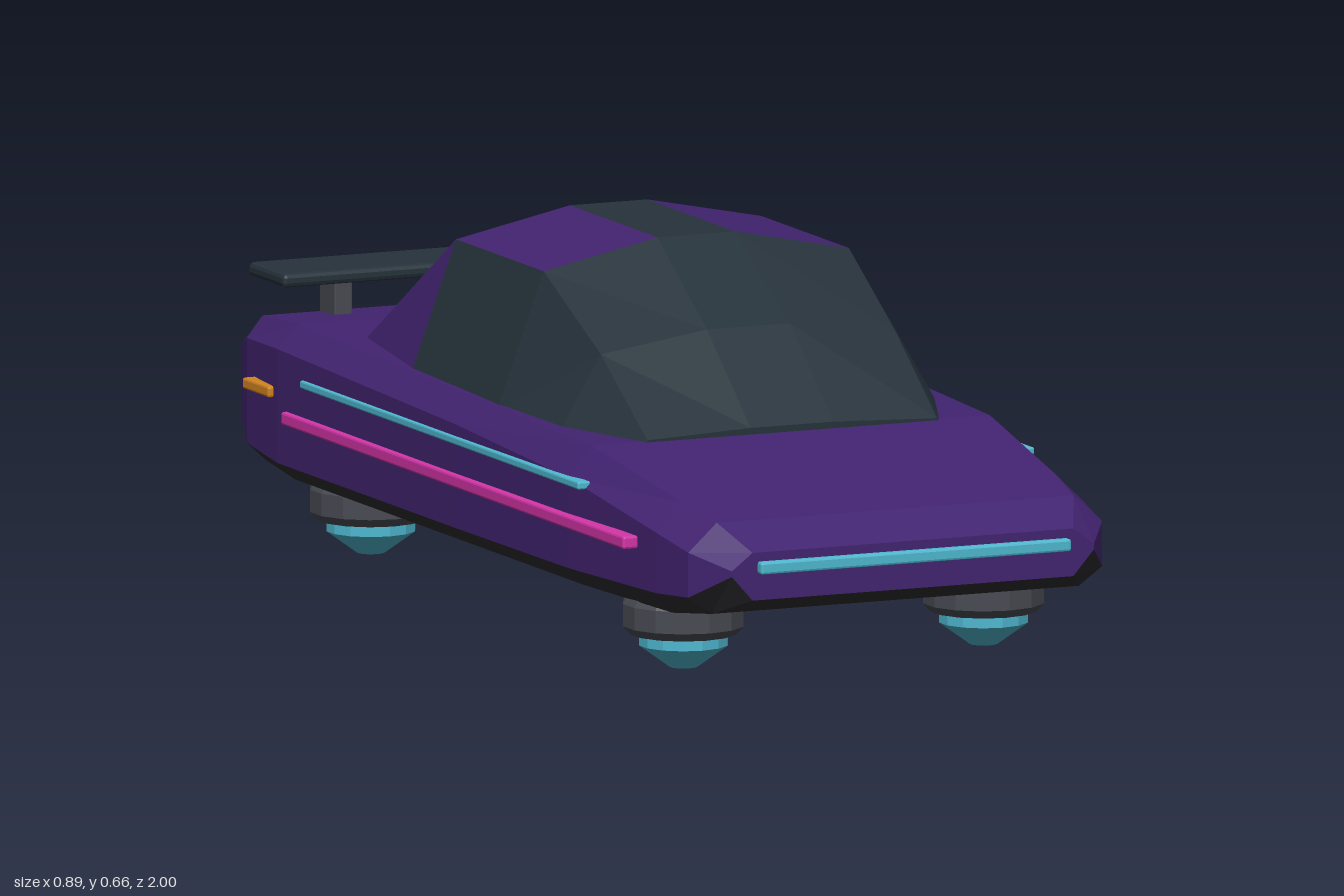
import * as THREE from 'three';
import { RoundedBoxGeometry } from 'three/addons/geometries/RoundedBoxGeometry.js';

const paint = (name, color) => Object.assign(new THREE.MeshStandardMaterial({ color }), { name });

// Gives every face its own flat normal
function facet(geometry) {
  const g = geometry.index ? geometry.toNonIndexed() : geometry;
  g.computeVertexNormals();
  return g;
}

// Skins counter-clockwise rings running front to back; slot(i, j) picks the material of each strip
function loft(rings, slot) {
  const buckets = [[], []];
  const n = rings[0].length;
  for (let i = 0; i < rings.length - 1; i++) {
    for (let j = 0; j < n; j++) {
      const k = (j + 1) % n;
      const a = rings[i][j], b = rings[i][k], c = rings[i + 1][k], d = rings[i + 1][j];
      buckets[slot(i, j)].push(...a, ...d, ...c, ...a, ...c, ...b);
    }
  }
  const first = rings[0], last = rings[rings.length - 1];
  for (let j = 1; j < n - 1; j++) {
    buckets[0].push(...first[0], ...first[j], ...first[j + 1]);
    buckets[0].push(...last[0], ...last[j + 1], ...last[j]);
  }
  const g = new THREE.BufferGeometry();
  g.setAttribute('position', new THREE.Float32BufferAttribute(buckets.flat(), 3));
  g.addGroup(0, buckets[0].length / 3, 0);
  g.addGroup(buckets[0].length / 3, buckets[1].length / 3, 1);
  g.computeVertexNormals();
  return g;
}

export function createModel() {
  const purple = paint('purple paint', 0x422370);
  const glass = paint('tinted glass', 0x26323b);
  const charcoal = paint('charcoal underside', 0x2d2d30);
  const grey = paint('pod grey', 0x484a52);
  const cyan = paint('cyan glow', 0x4fb8d0);
  const magenta = paint('magenta glow', 0xd435a8);
  const amber = paint('amber light', 0xd08420);

  const model = new THREE.Group();
  model.name = 'hoverCar';
  const add = (name, geometry, material, x = 0, y = 0, z = 0) => {
    const mesh = new THREE.Mesh(geometry, material);
    mesh.name = name;
    mesh.position.set(x, y, z);
    model.add(mesh);
    return mesh;
  };
  // Box with chamfered edges
  const bar = (name, material, w, h, d, x, y, z, r = 0.004) =>
    add(name, facet(new RoundedBoxGeometry(w, h, d, 1, r)), material, x, y, z);

  // Body: z, bottom half width and y, side half width, sill y, shoulder y, top half width and y
  const bodyRings = [
    [0.985, 0.31, 0.17, 0.35, 0.215, 0.225, 0.31, 0.255],
    [0.91, 0.355, 0.138, 0.4, 0.17, 0.25, 0.345, 0.3],
    [0.8, 0.38, 0.125, 0.412, 0.162, 0.27, 0.36, 0.32],
    [0.47, 0.4, 0.125, 0.43, 0.157, 0.318, 0.385, 0.372],
    [0, 0.4, 0.125, 0.435, 0.157, 0.342, 0.39, 0.385],
    [-0.75, 0.4, 0.125, 0.435, 0.157, 0.36, 0.39, 0.4],
    [-0.92, 0.38, 0.133, 0.415, 0.165, 0.352, 0.385, 0.39],
    [-0.985, 0.355, 0.165, 0.395, 0.195, 0.33, 0.365, 0.357],
  ].map(([z, wb, yb, w, yl, ys, wt, yt]) => [
    [-wb, yb, z], [wb, yb, z], [w, yl, z], [w, ys, z],
    [wt, yt, z], [-wt, yt, z], [-w, ys, z], [-w, yl, z],
  ]);
  add('body', loft(bodyRings, (i, j) => ([0, 1, 7].includes(j) ? 1 : 0)), [purple, charcoal]);

  // Cabin: z, centre half width and y, roof edge half width and y, base half width and y
  const cabinRings = [
    [0.475, 0.08, 0.383, 0.28, 0.375, 0.295, 0.355],
    [0.29, 0.08, 0.53, 0.285, 0.5, 0.367, 0.365],
    [0.07, 0.075, 0.66, 0.295, 0.615, 0.386, 0.37],
    [-0.3, 0.075, 0.66, 0.295, 0.615, 0.386, 0.37],
    [-0.625, 0.075, 0.437, 0.25, 0.428, 0.335, 0.375],
  ].map(([z, wc, yc, we, ye, wb, yb]) => [
    [wb, yb, z], [we, ye, z], [wc, yc, z], [-wc, yc, z], [-we, ye, z], [-wb, yb, z],
  ]);
  // Painted roof panels and rear quarters, the rest is glass
  const painted = { 2: [1, 3], 3: [0, 4] };
  add('cabin', loft(cabinRings, (i, j) => ((painted[i] || []).includes(j) ? 1 : 0)), [glass, purple]);

  // Rear wing
  bar('wing', glass, 0.79, 0.025, 0.15, 0, 0.468, -0.885, 0.008);

  // Light bars and belly strip
  bar('frontLightBar', cyan, 0.6, 0.022, 0.04, 0, 0.228, 0.98);
  bar('rearLightBar', amber, 0.69, 0.022, 0.04, 0, 0.287, -0.977);
  bar('bellyStrip', magenta, 0.11, 0.04, 1.04, 0, 0.12, 0, 0.003);

  // Hover pod profiles, revolved
  const lathe = (points) =>
    facet(new THREE.LatheGeometry(points.map(([x, y]) => new THREE.Vector2(x, y)), 14));
  const housing = lathe([[0, 0.06], [0.095, 0.06], [0.109, 0.075], [0.109, 0.115], [0.095, 0.14], [0, 0.14]]);
  const thruster = lathe([[0, 0], [0.025, 0], [0.08, 0.04], [0.08, 0.065], [0, 0.065]]);

  for (const [side, s] of [['left', 1], ['right', -1]]) {
    bar(side + 'WingPost', grey, 0.035, 0.08, 0.065, s * 0.26, 0.422, -0.883, 0.003);
    bar(side + 'MagentaRail', magenta, 0.03, 0.023, 1.445, s * 0.43, 0.243, 0.01);
    bar(side + 'CyanRail', cyan, 0.025, 0.014, 1.175, s * 0.429, 0.314, -0.053, 0.003);
    bar(side + 'MarkerLight', amber, 0.03, 0.02, 0.11, s * 0.428, 0.28, -0.825);
    for (const [end, z] of [['Front', 0.65], ['Rear', -0.67]]) {
      add(side + end + 'PodHousing', housing, grey, s * 0.29, 0, z);
      add(side + end + 'Thruster', thruster, cyan, s * 0.29, 0, z);
    }
  }
  return model;
}
